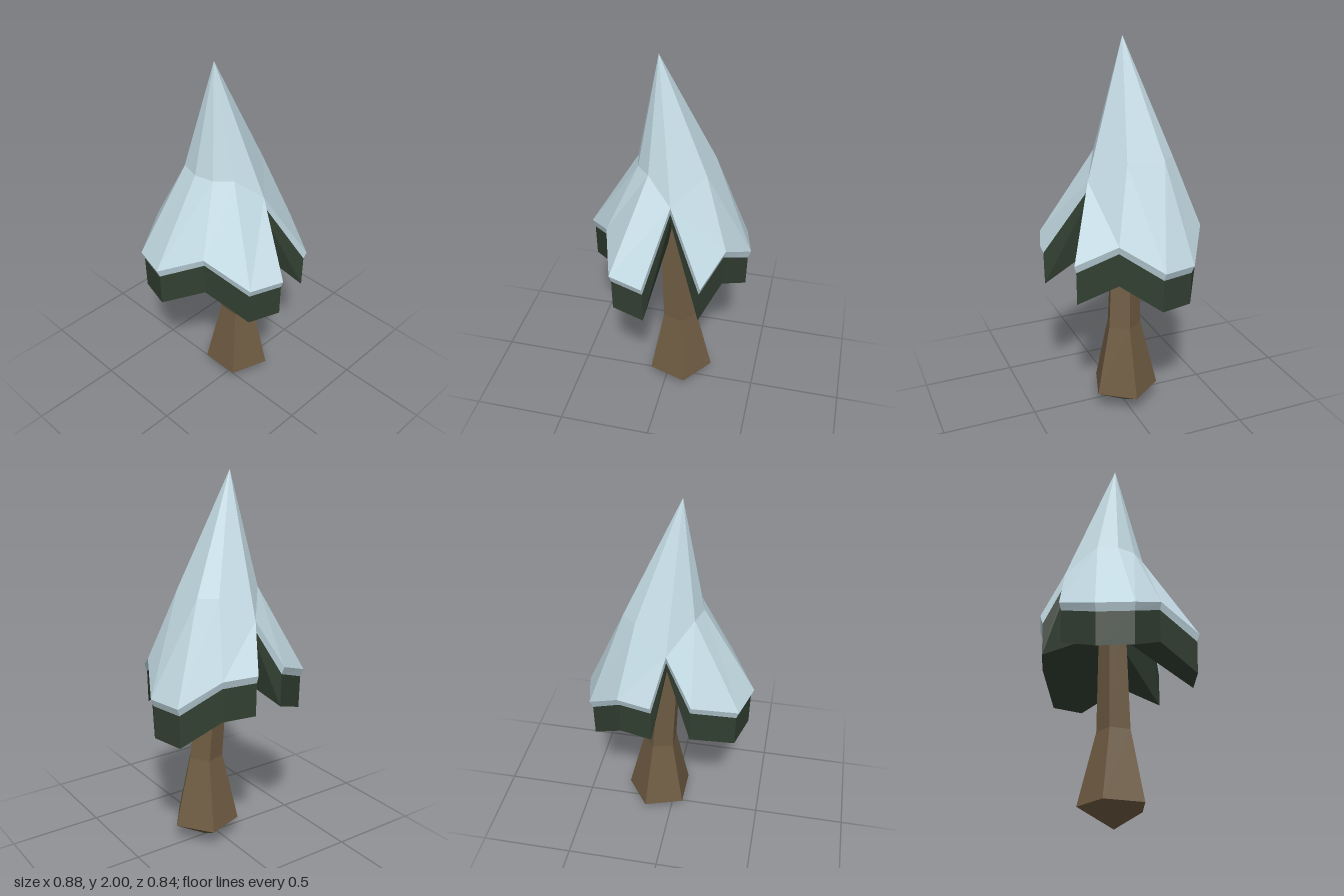
import * as THREE from 'three';

const snow = new THREE.MeshStandardMaterial({ color: 0xc3dae3 });
snow.name = 'snow';
const needles = new THREE.MeshStandardMaterial({ color: 0x334033 });
needles.name = 'needles';
const bark = new THREE.MeshStandardMaterial({ color: 0x6f5c43 });
bark.name = 'bark';

// Faceted mesh from a list of corner triples; collapsed triangles are skipped
function facetMesh(name, material, triangles) {
  const data = [];
  for (const [a, b, c] of triangles) {
    if (a === b || b === c || a === c) continue;
    data.push(...a, ...b, ...c);
  }
  const geometry = new THREE.BufferGeometry();
  geometry.setAttribute('position', new THREE.Float32BufferAttribute(data, 3));
  geometry.computeVertexNormals();
  const mesh = new THREE.Mesh(geometry, material);
  mesh.name = name;
  return mesh;
}

// Triangles joining an upper loop to a lower loop, facing outward
function band(upper, lower) {
  const out = [];
  upper.forEach((u, i) => {
    const j = (i + 1) % upper.length;
    out.push([u, lower[i], upper[j]], [upper[j], lower[i], lower[j]]);
  });
  return out;
}

// Triangles joining a loop to a single tip
const fan = (tip, loop) => loop.map((p, i) => [tip, p, loop[(i + 1) % loop.length]]);
const flip = (triangles) => triangles.map(([a, b, c]) => [a, c, b]);

export function createModel() {
  const tree = new THREE.Group();
  tree.name = 'snowyTree';

  // Canopy: leaning tip, two notches and a ring of bend points
  const tip = [-0.055, 2, -0.042];
  const frontNotch = [0.055, 1.31, 0.19];
  const backNotch = [-0.025, 1.3, -0.31];
  const bendA = [0.205, 1.42, 0.04];
  const bendB = [0.215, 1.415, -0.158];
  const bendC = [0.139, 1.42, -0.235];
  const bendD = [-0.14, 1.43, -0.17];
  const bendE = [-0.17, 1.43, -0.065];
  const bendF = [-0.145, 1.43, 0.035];
  const bendG = [-0.075, 1.43, 0.11];

  // Each rim corner with the inner point above it
  const spokes = [
    [frontNotch, frontNotch],
    [[0.24, 0.945, 0.335], frontNotch],
    [[0.33, 1.05, 0.135], frontNotch],
    [[0.435, 0.915, -0.07], bendA],
    [[0.39, 0.91, -0.25], bendB],
    [[0.21, 1.05, -0.37], bendC],
    [[0.035, 1.06, -0.42], backNotch],
    [backNotch, backNotch],
    [[-0.16, 1.055, -0.375], backNotch],
    [[-0.385, 0.965, -0.26], bendD],
    [[-0.44, 0.975, -0.075], bendE],
    [[-0.3, 1.075, 0.12], bendF],
    [[-0.22, 0.97, 0.365], bendG],
    [[-0.04, 0.96, 0.42], frontNotch],
  ];
  const rim = spokes.map((s) => s[0]);
  const inner = spokes.map((s) => s[1]);
  const isNotch = (p) => p === frontNotch || p === backNotch;
  const dropped = (drop, notchDrop, inset) =>
    rim.map((p) => [p[0] * inset, p[1] - (isNotch(p) ? notchDrop : drop), p[2] * inset]);
  const snowEdge = dropped(0.04, 0.04, 0.965);
  const hem = dropped(0.215, 0.085, 0.957);

  // Snow cover with its thin lip
  tree.add(facetMesh('snowCover', snow, [
    ...fan(tip, inner), ...band(inner, rim), ...band(rim, snowEdge),
  ]));

  // Needle skirt and shallow underside
  tree.add(facetMesh('needleSkirt', needles, [
    ...band(snowEdge, hem), ...flip(fan([0.02, 1.03, -0.03], hem)),
  ]));

  // Trunk: five-sided sections [y, x, z, radius] with a pointed root
  const rings = [
    [1.38, 0, -0.035, 0.067],
    [0.49, 0.068, 0.004, 0.095],
    [0.11, 0.073, 0, 0.183],
  ].map(([y, x, z, r]) => Array.from({ length: 5 }, (_, i) => {
    const a = (-i * Math.PI * 2) / 5;
    return [x + r * Math.cos(a), y, z + r * Math.sin(a)];
  }));
  tree.add(facetMesh('trunk', bark, [
    ...band(rings[0], rings[1]),
    ...band(rings[1], rings[2]),
    ...flip(fan([0.07, 0, 0], rings[2])),
  ]));

  return tree;
}
